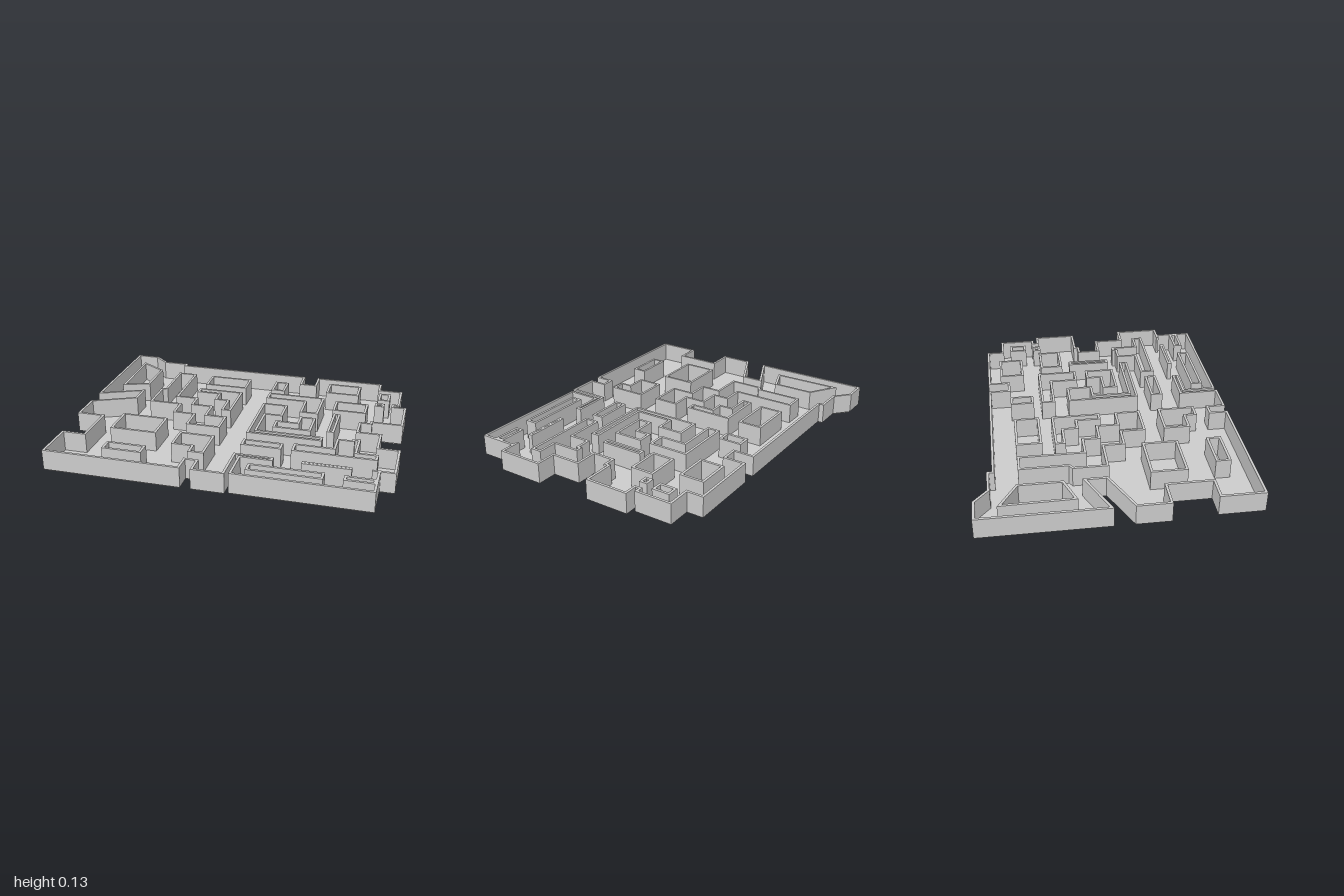
import * as THREE from 'three';

const WALL = 0.015, FLOOR = 0.01, TOP = 0.133;

// Outer boundary as [x, z] corners
const OUTLINE = [
  [-1, -.79], [-.85, -.79], [-.76, -.71], [-.595, -.71], [-.595, -.68], [.27, -.68],
  [.27, -.555], [.355, -.555], [.355, -.68], [.795, -.68], [.795, -.58], [.94, -.58],
  [.94, -.35], [.905, -.35], [.905, -.33], [.985, -.33], [.985, -.06], [.8, -.06],
  [.8, -.035], [.735, -.035], [.735, .085], [.875, .085], [.875, .265], [1, .265],
  [1, .55], [.915, .55], [.915, .775], [.12, .775], [.12, .56], [.305, .56],
  [.305, .55], [.1, .55], [.1, .785], [-.095, .785], [-.095, .68], [-.155, .68],
  [-.155, .785], [-.98, .785], [-.98, .52], [-.84, .52], [-.84, .265], [-1, .265],
  [-1, .065], [-.74, -.055], [-.74, -.165], [-1, -.05],
];

// Plain rectangular rooms: x0, z0, x1, z1
const RECT_ROOMS = [
  [-.36, -.535, -.08, -.38], [.09, -.545, .18, -.4], [.45, -.6, .665, -.445],
  [.535, -.325, .745, -.18], [.795, -.52, .87, -.41], [.55, -.13, .595, .135],
  [-.72, .195, -.43, .41], [-.665, .58, -.425, .67], [.095, .35, .335, .425],
  [.48, .537, .76, .565], [.195, .635, .625, .71], [.73, .635, .905, .69],
];

// Rooms with bent or slanted outlines
const SHAPED_ROOMS = [
  [[-.907, -.66], [-.73, -.55], [-.73, -.29], [-.9, -.228]],
  [[-.6, -.535], [-.473, -.535], [-.473, -.15], [-.34, -.15], [-.34, -.05], [-.21, -.05],
    [-.21, .083], [-.083, .083], [-.083, .243], [-.297, .243], [-.297, .1], [-.43, .1],
    [-.43, -.024], [-.628, -.024], [-.628, -.232], [-.6, -.25]],
  [[-.377, -.307], [-.083, -.307], [-.083, -.008], [-.147, -.008], [-.147, -.152],
    [-.232, -.152], [-.232, -.243], [-.377, -.243]],
  [[.088, -.35], [.457, -.35], [.457, -.099], [.34, -.099], [.34, -.265], [.088, -.265]],
  [[.088, -.179], [.249, -.179], [.249, -.013], [.142, -.013], [.142, .211], [.543, .211],
    [.543, .265], [.088, .265]],
  [[.356, -.035], [.457, -.035], [.457, .152], [.222, .152], [.222, .056], [.356, .056]],
  [[-.297, .356], [-.078, .356], [-.078, .586], [-.174, .586], [-.174, .516], [-.297, .516]],
  [[.393, .334], [.623, .334], [.623, .211], [.714, .211], [.714, .19], [.762, .19],
    [.762, .356], [.885, .356], [.885, .425], [.393, .425]],
];

const SHAFT = [.785, -.36, .845, -.31];

const rect = ([x0, z0, x1, z1]) => [[x0, z0], [x1, z0], [x1, z1], [x0, z1]];
const vectors = (pts) => pts.map(([x, z]) => new THREE.Vector2(x, z));

// Move every edge of a closed outline inwards by d, with mitred corners
function inset(pts, d) {
  const p = vectors(pts), n = p.length;
  const s = THREE.ShapeUtils.area(p) > 0 ? 1 : -1;
  const normal = (a, b) => {
    const e = b.clone().sub(a).normalize();
    return new THREE.Vector2(-e.y * s, e.x * s);
  };
  return p.map((c, i) => {
    const a = normal(p[(i + n - 1) % n], c), b = normal(c, p[(i + 1) % n]);
    const k = d / (1 + a.dot(b));
    return [c.x + (a.x + b.x) * k, c.y + (a.y + b.y) * k];
  });
}

// Upright slab between two heights, with optional holes
function slab(name, pts, holes, y0, y1, material) {
  const shape = new THREE.Shape(vectors(pts));
  holes.forEach((h) => shape.holes.push(new THREE.Path(vectors(h))));
  const geo = new THREE.ExtrudeGeometry(shape, { depth: y1 - y0, bevelEnabled: false });
  geo.rotateX(Math.PI / 2).translate(0, y1, 0);
  const mesh = new THREE.Mesh(geo, material);
  mesh.name = name;
  return mesh;
}

export function createModel() {
  const group = new THREE.Group();
  group.name = 'mazeFloorPlan';
  const material = new THREE.MeshStandardMaterial({ color: 0xcccccc, flatShading: true });
  const wallRing = (name, pts) =>
    slab(name, pts, [inset(pts, WALL)], FLOOR, TOP, material);

  // Floor plate, set in slightly under the walls, pierced by the shaft
  const shaft = rect(SHAFT);
  group.add(slab('floor', inset(OUTLINE, 0.012), [inset(shaft, WALL)], 0, FLOOR + 0.001, material));

  // Outer wall and the short stub that continues it inwards
  group.add(wallRing('outerWall', OUTLINE));
  group.add(slab('wallStub', rect([.868, .535, .905, .55]), [], FLOOR, TOP, material));
  group.add(wallRing('shaftWall', shaft));

  // Hollow inner rooms
  const rooms = new THREE.Group();
  rooms.name = 'innerRooms';
  [...RECT_ROOMS.map(rect), ...SHAPED_ROOMS].forEach((pts, i) =>
    rooms.add(wallRing(`roomWall${i + 1}`, pts)));
  group.add(rooms);
  return group;
}
